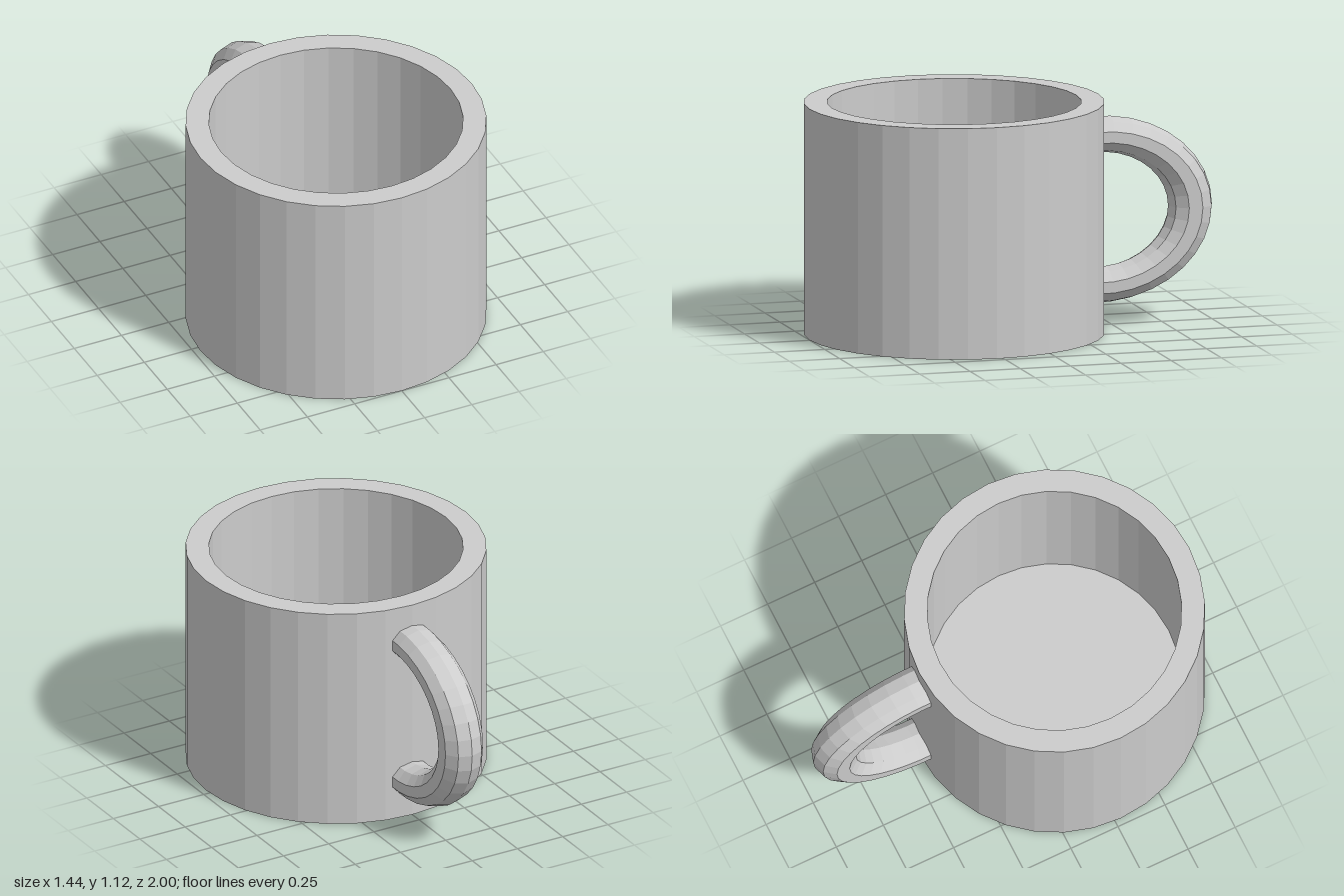
import * as THREE from 'three';

export function createModel() {
  const model = new THREE.Group();
  model.name = 'mug';

  const ceramic = new THREE.MeshStandardMaterial({ color: 0xcccccc, flatShading: true });
  ceramic.name = 'grey ceramic';

  const bodyRadius = 0.718, innerRadius = 0.607, height = 1.12, bodyZ = 0.282;

  // Hollow body with a flat rim and a shallow recess under the foot ring
  const profile = [
    [0, 0.018], [0.665, 0.018], [0.665, 0], [bodyRadius, 0],
    [bodyRadius, height], [innerRadius, height], [innerRadius, 0.11], [0, 0.11],
  ].map(([r, y]) => new THREE.Vector2(r, y));
  const body = new THREE.Mesh(new THREE.LatheGeometry(profile, 32), ceramic);
  body.name = 'body';
  body.position.z = bodyZ;
  model.add(body);

  // Handle: half ring squashed in height, its ends sunk into the wall
  const arc = Math.PI + 0.16;
  const ring = new THREE.TorusGeometry(0.455, 0.109, 10, 18, arc);
  ring.rotateZ(-arc / 2);
  ring.rotateY(Math.PI / 2);
  ring.scale(1, 0.803, 1);
  const handle = new THREE.Mesh(ring, ceramic);
  handle.name = 'handle';
  handle.position.set(0, height / 2, bodyZ - bodyRadius);
  model.add(handle);

  return model;
}
